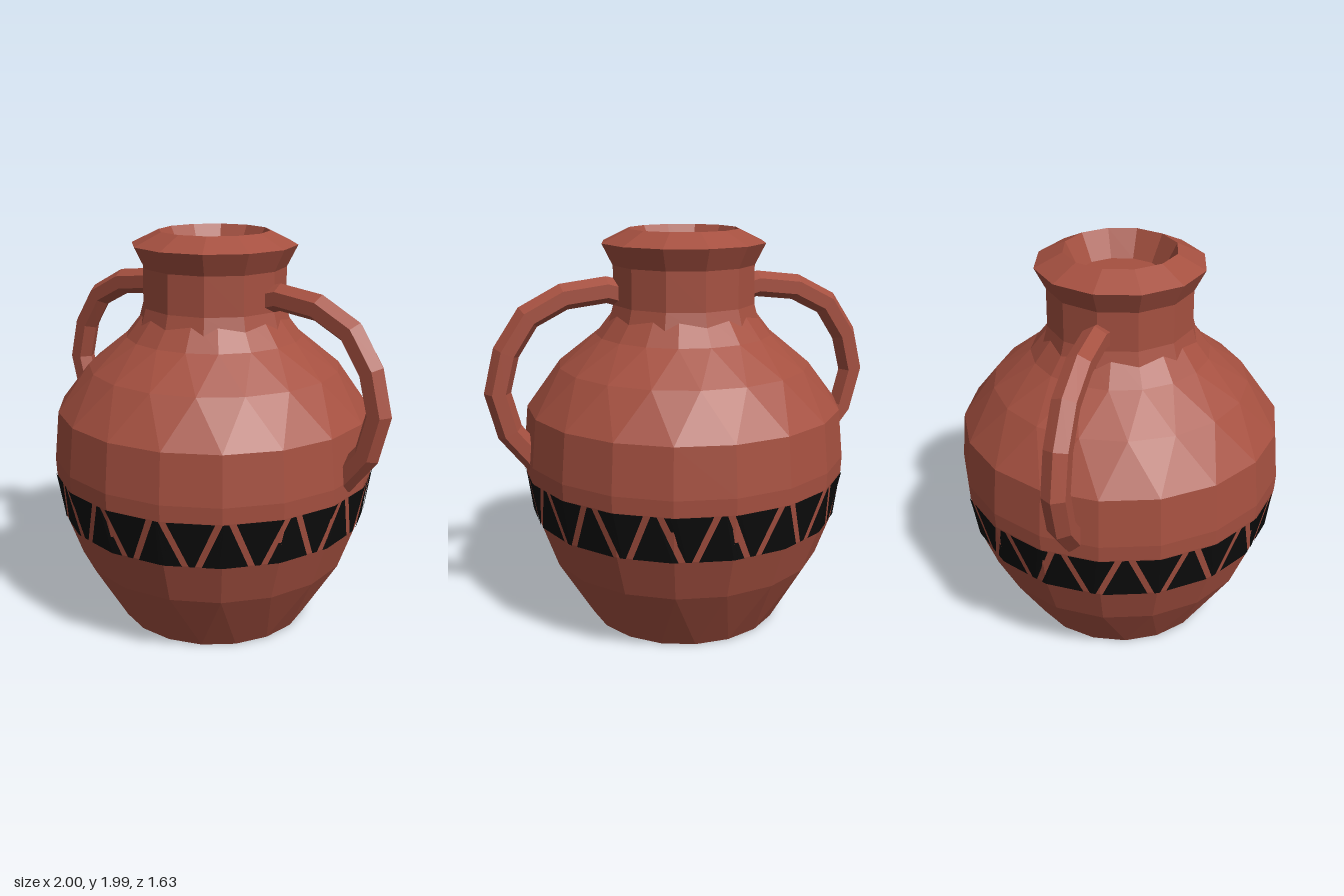
import * as THREE from 'three';

const SIDES = 18;
const BAND = { y0: 0.57, r0: 0.777, y1: 0.8, r1: 0.812 };

// Facet a geometry so every face has its own flat normal.
function faceted(geometry) {
  const flat = geometry.toNonIndexed();
  flat.computeVertexNormals();
  return flat;
}

// Lathe with an optional turn of each ring, which breaks the walls into triangles.
function turned(profile, sides, turnAt = () => 0) {
  const g = new THREE.LatheGeometry(profile.map(([r, y]) => new THREE.Vector2(r, y)), sides);
  const p = g.attributes.position;
  const v = new THREE.Vector3();
  const up = new THREE.Vector3(0, 1, 0);
  for (let i = 0; i < p.count; i++) {
    v.fromBufferAttribute(p, i);
    v.applyAxisAngle(up, turnAt(v.y) * Math.PI * 2 / sides);
    p.setXYZ(i, v.x, v.y, v.z);
  }
  return faceted(g);
}

// Hexagonal tube swept along a path in the xy plane, with a ridge facing outward.
function handleGeometry(path, radius) {
  const pos = [], index = [], n = path.length;
  path.forEach(([x, y], i) => {
    const a = path[Math.max(i - 1, 0)], b = path[Math.min(i + 1, n - 1)];
    const t = new THREE.Vector2(b[0] - a[0], b[1] - a[1]).normalize();
    for (let k = 0; k < 6; k++) {
      const c = Math.cos(k * Math.PI / 3) * radius, s = Math.sin(k * Math.PI / 3) * radius;
      pos.push(x - t.y * c, y + t.x * c, s);
    }
  });
  for (let i = 0; i < n - 1; i++) {
    for (let k = 0; k < 6; k++) {
      const a = i * 6 + k, b = i * 6 + (k + 1) % 6;
      index.push(a, b, a + 6, b, b + 6, a + 6);
    }
  }
  // end caps
  const e = (n - 1) * 6;
  for (let k = 1; k < 5; k++) index.push(0, k + 1, k, e, e + k, e + k + 1);
  const g = new THREE.BufferGeometry();
  g.setAttribute('position', new THREE.Float32BufferAttribute(pos, 3));
  g.setIndex(index);
  return faceted(g);
}

// Thin painted trapezoid that follows the facets of the body.
function paintedGeometry(centre, bottomWidth, topWidth) {
  const cols = 8, pos = [], index = [];
  const step = Math.PI * 2 / SIDES;
  const rows = [[BAND.y0, BAND.r0, bottomWidth], [BAND.y1, BAND.r1, topWidth]];
  for (const [y, r, width] of rows) {
    for (let i = 0; i <= cols; i++) {
      const angle = centre + (i / cols - 0.5) * width;
      const local = angle - Math.floor(angle / step) * step - step / 2;
      const d = r * Math.cos(step / 2) / Math.cos(local) + 0.006;
      pos.push(Math.sin(angle) * d, y, Math.cos(angle) * d);
    }
  }
  for (let i = 0; i < cols; i++) {
    const a = i, c = i + cols + 1;
    index.push(a, a + 1, c, a + 1, c + 1, c);
  }
  const g = new THREE.BufferGeometry();
  g.setAttribute('position', new THREE.Float32BufferAttribute(pos, 3));
  g.setIndex(index);
  return faceted(g);
}

export function createModel() {
  const clay = new THREE.MeshStandardMaterial({ color: 0xa55040 });
  clay.name = 'terracotta';
  const black = new THREE.MeshStandardMaterial({ color: 0x0c0c0c });
  black.name = 'black paint';

  const group = new THREE.Group();
  group.name = 'vase';
  const add = (name, geometry, material, parent = group) => {
    const mesh = new THREE.Mesh(geometry, material);
    mesh.name = name;
    parent.add(mesh);
    return mesh;
  };

  // Belly and shoulder
  const bodyProfile = [
    [0, 0], [0.495, 0], [0.7, 0.35], [BAND.r0, BAND.y0], [BAND.r1, BAND.y1],
    [0.815, 0.88], [0.79, 1.12], [0.63, 1.33], [0.44, 1.48], [0.33, 1.62],
  ];
  const bodyTurn = (y) => (y < 0.1 ? -0.5 : y > 1.4 ? 1 : y > 1.2 ? 0.5 : 0);
  add('body', turned(bodyProfile, SIDES, bodyTurn), clay);

  // Neck, flared lip and hollow mouth
  const neckProfile = [
    [0.385, 1.53], [0.357, 1.63], [0.355, 1.82], [0.408, 1.925],
    [0.272, 1.99], [0.205, 1.86], [0, 1.86],
  ];
  add('neckAndRim', turned(neckProfile, 12), clay);

  // Two mirrored handles
  const path = [
    [0.3, 1.68], [0.39, 1.705], [0.6, 1.68], [0.775, 1.59], [0.885, 1.425],
    [0.935, 1.23], [0.885, 1.03], [0.755, 0.865],
  ];
  add('leftHandle', handleGeometry(path, 0.065), clay);
  add('rightHandle', handleGeometry(path, 0.065), clay).rotation.y = Math.PI;

  // Painted band of alternating trapezoids
  const band = new THREE.Group();
  band.name = 'paintedBand';
  group.add(band);
  const period = Math.PI / 8, wide = 0.275, narrow = 0.035;
  for (let i = 0; i < 16; i++) {
    const centre = 0.128 + i * period;
    add('downwardMark', paintedGeometry(centre, narrow, wide), black, band);
    add('upwardMark', paintedGeometry(centre + period / 2, wide, narrow), black, band);
  }
  return group;
}
